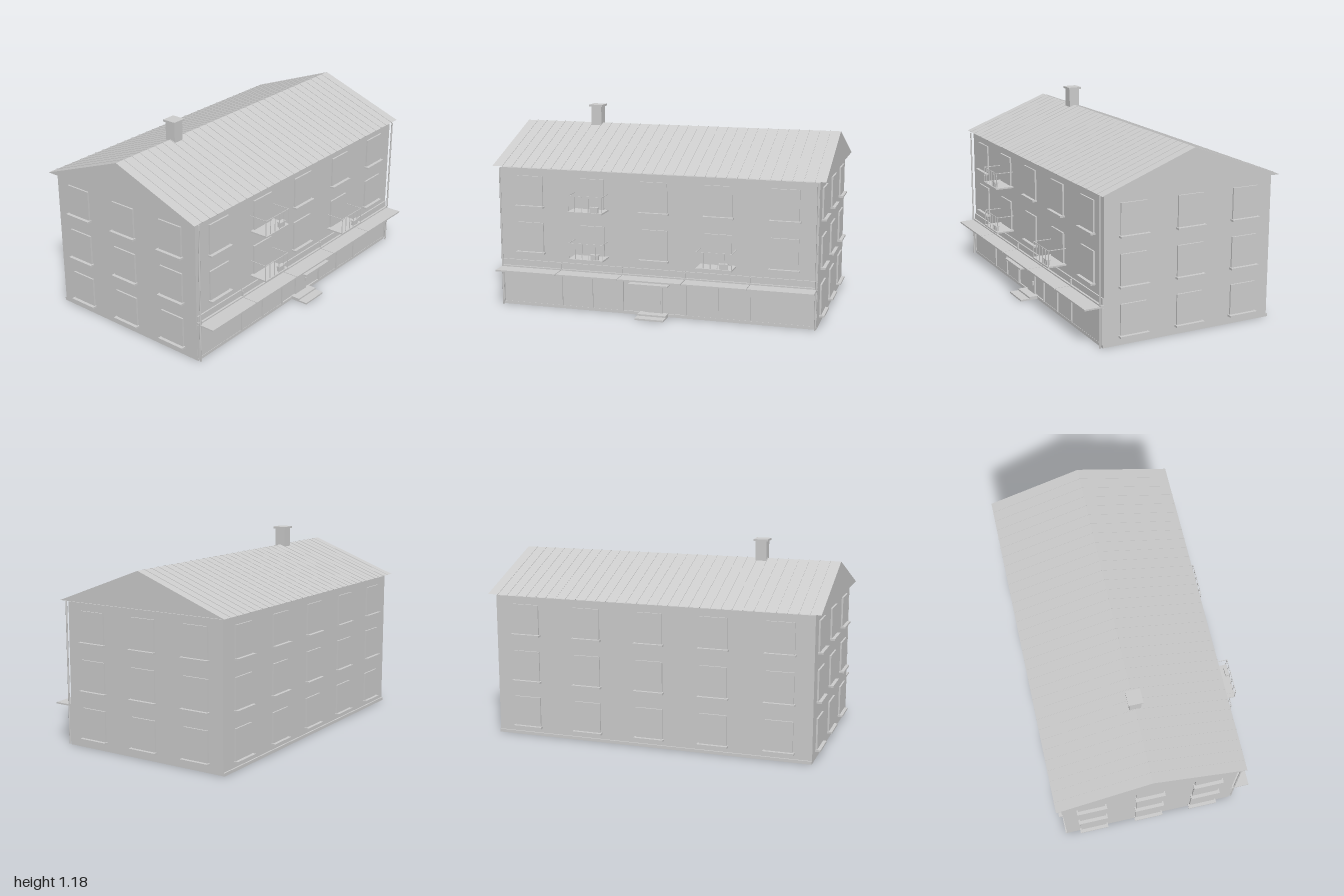
import * as THREE from 'three';

export function createModel() {
  const model = new THREE.Group();
  const grey = new THREE.MeshStandardMaterial({ color: 0xcccccc });
  grey.name = 'plainGrey';

  const add = (name, geometry, parent = model) => {
    const mesh = new THREE.Mesh(geometry, grey);
    mesh.name = name;
    parent.add(mesh);
    return mesh;
  };
  // box given by its limits on each axis
  const box = (name, x0, x1, y0, y1, z0, z1, parent) => {
    const mesh = add(name, new THREE.BoxGeometry(x1 - x0, y1 - y0, z1 - z0), parent);
    mesh.position.set((x0 + x1) / 2, (y0 + y1) / 2, (z0 + z1) / 2);
    return mesh;
  };
  const group = (name, x = 0, y = 0, z = 0, turn = 0) => {
    const g = new THREE.Group();
    g.name = name;
    g.position.set(x, y, z);
    g.rotation.y = turn;
    model.add(g);
    return g;
  };

  const W = 0.963, FRONT = 0.48, BACK = -0.577, MID = -0.05;

  // walls and plinth strips
  box('walls', -W, W, 0, 0.846, BACK, FRONT);
  box('frontPlinth', -W, W, 0, 0.018, FRONT, FRONT + 0.008);
  box('backPlinth', -W, W, 0, 0.018, BACK - 0.009, BACK);

  // gabled roof
  const eave = 0.856, ridge = 1.065, halfDepth = 0.559;
  const gable = new THREE.Shape([
    new THREE.Vector2(-halfDepth, eave),
    new THREE.Vector2(halfDepth, eave),
    new THREE.Vector2(0, ridge),
  ]);
  const roof = add('roof', new THREE.ExtrudeGeometry(gable, { depth: 2, bevelEnabled: false }));
  roof.rotation.y = Math.PI / 2;
  roof.position.set(-1, 0, MID);

  // standing seams on both slopes
  const slope = Math.atan2(ridge - eave, halfDepth);
  const slopeLength = Math.hypot(ridge - eave, halfDepth);
  const seam = new THREE.BoxGeometry(0.003, 0.005, slopeLength);
  for (let i = 1; i < 32; i++) {
    for (const s of [-1, 1]) {
      const mesh = add('roofSeam', seam);
      mesh.position.set(-1 + i / 16, (eave + ridge) / 2, MID + s * halfDepth / 2);
      mesh.rotation.x = s * slope;
    }
  }

  // chimney
  box('chimneyShaft', -0.561, -0.495, 1.0, 1.168, MID - 0.034, MID + 0.034);
  box('chimneyCap', -0.571, -0.485, 1.168, 1.18, MID - 0.043, MID + 0.043);

  // windows: raised panel with a projecting sill
  const addWindow = (x, y, z, turn) => {
    const g = group('window', x, y, z, turn);
    box('windowPanel', -0.081, 0.081, 0.01, 0.19, 0, 0.01, g);
    box('windowSill', -0.09, 0.09, 0, 0.011, 0, 0.03, g);
  };
  const floors = [0.046, 0.328, 0.611];
  const columns = [-0.772, -0.386, 0, 0.386, 0.772];
  floors.forEach((y, floor) => {
    for (const x of columns) {
      if (floor > 0) addWindow(x, y, FRONT, 0);
      addWindow(x, y, BACK, Math.PI);
    }
    for (const z of [0.303, MID, -0.403]) {
      addWindow(W, y, z, Math.PI / 2);
      addWindow(-W, y, z, -Math.PI / 2);
    }
  });

  // balconies: thin slab, wire railing and a planter
  const addBalcony = (x, y) => {
    const g = group('balcony', x, y, FRONT);
    const r = 0.0018, h = 0.106, d = 0.11;
    box('balconySlab', -d + 0.004, d - 0.004, 0.002, 0.011, 0, 0.116, g);
    for (let i = 0; i < 6; i++) {
      const px = -0.104 + i * 0.0416;
      box('balconyBar', px - r, px + r, 0.01, h, d - r, d + r, g);
    }
    box('balconyFrontRail', -0.106, 0.106, h - 2 * r, h, d - r, d + r, g);
    for (const s of [-1, 1]) {
      box('balconySideRail', s * 0.104 - r, s * 0.104 + r, h - 2 * r, h, 0, d, g);
    }
    box('planter', 0.03, 0.077, 0.011, 0.036, 0.09, 0.108, g);
    box('planterRim', 0.027, 0.08, 0.036, 0.043, 0.087, 0.111, g);
  };
  addBalcony(-0.386, floors[2]);
  addBalcony(-0.386, floors[1]);
  addBalcony(0.386, floors[1]);

  // shopfront awning and fascia in five bays
  const bay = 2 * W / 5;
  for (let i = 0; i < 5; i++) {
    const x0 = -W + i * bay, x1 = x0 + bay;
    box('awningPanel', x0 + 0.002, x1 - 0.002, 0.229, 0.238, FRONT, 0.596);
    box('fasciaPanel', x0 + 0.003, x1 - 0.003, 0.238, 0.283, FRONT, 0.488);
  }
  box('fasciaLedge', -W, W, 0.238, 0.246, FRONT, 0.5);
  for (let i = 1; i < 5; i++) {
    const x = -W + i * bay;
    box('fasciaBracket', x - 0.003, x + 0.003, 0.24, 0.277, FRONT, 0.498);
  }

  // shop glazing with posts between the panes
  const posts = [-W + 0.006, -0.578, -0.385, -0.193, 0.193, 0.385, 0.578, W - 0.006];
  posts.forEach((x, i) => {
    box('shopPost', x - 0.005, x + 0.005, 0.018, 0.229, FRONT, 0.495);
    if (i < 7 && i !== 3) box('shopPane', x + 0.005, posts[i + 1] - 0.005, 0.018, 0.229, FRONT, 0.486);
  });

  // entrance
  box('door', -0.054, 0.054, 0.018, 0.19, FRONT, 0.49);
  box('doorLintel', -0.07, 0.07, 0.19, 0.198, FRONT, 0.493);
  box('doorHandle', 0.038, 0.043, 0.075, 0.1, 0.49, 0.499);
  box('doorCanopy', -0.118, 0.118, 0.213, 0.221, FRONT, 0.611);
  box('lowerStep', -0.087, 0.087, 0, 0.01, FRONT, 0.595);
  box('upperStep', -0.087, 0.087, 0.01, 0.02, FRONT, 0.54);

  // downpipes at the front corners
  for (const s of [-1, 1]) {
    const pipe = add('downpipe', new THREE.CylinderGeometry(0.005, 0.005, 0.846, 10));
    pipe.position.set(s * 0.957, 0.423, 0.502);
  }

  return model;
}
